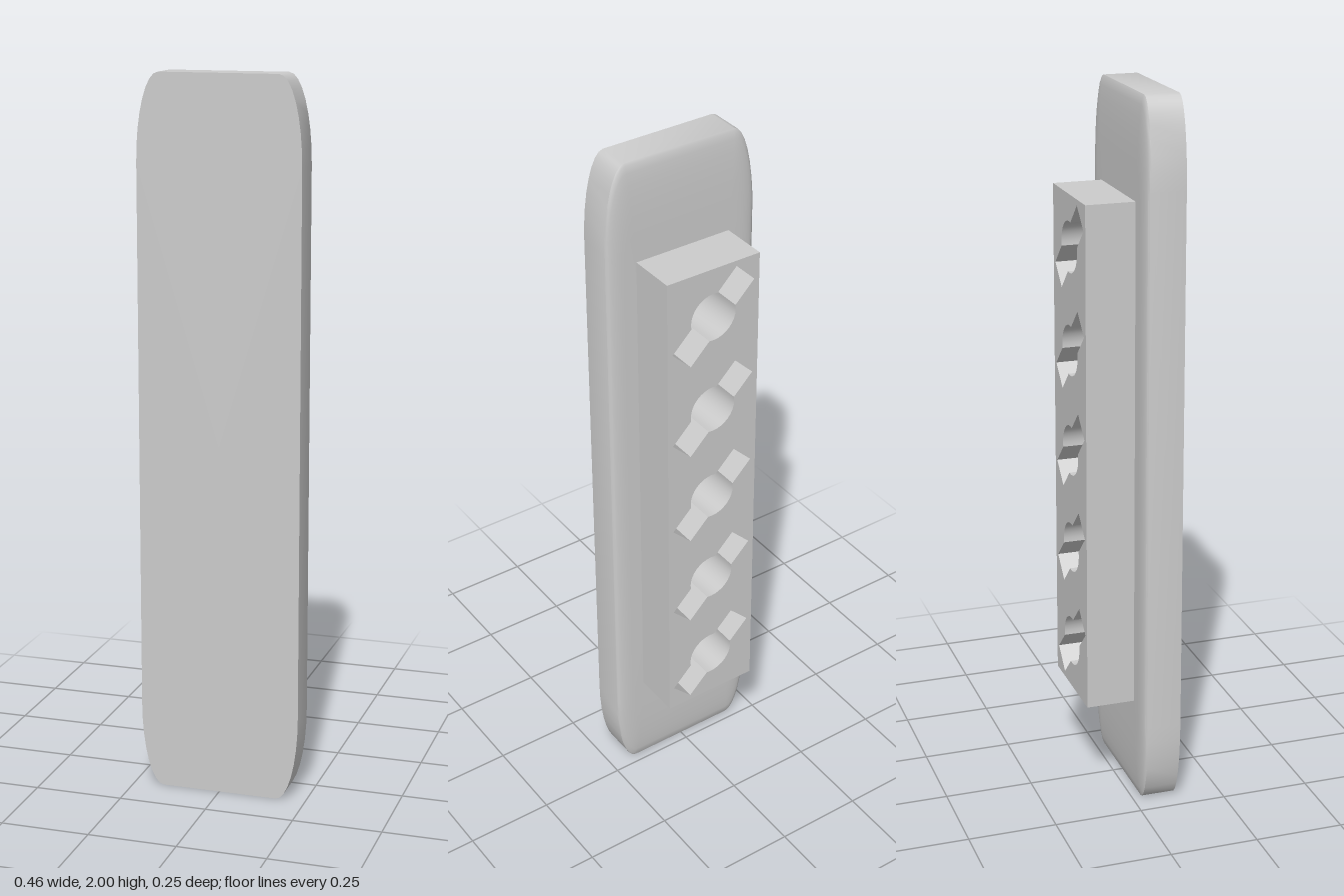
import * as THREE from 'three';
import { toCreasedNormals } from 'three/addons/utils/BufferGeometryUtils.js';

const material = new THREE.MeshStandardMaterial({ color: 0xcccccc });
const CELL = 0.286, BLOCK_BOTTOM = 0.29, BLOCK_HALF = 0.143;
const Z_FRONT = 0.123, Z_EDGE = 0.028, Z_BACK = 0.014, Z_SOCKET = -0.123;

// Outline of the plate: a rectangle with tall elliptical corners, shrunk by an inset
function plateRing(insetX, insetY, z, scale = 1) {
  const hx = 0.228 - insetX, hy = 1 - insetY;
  const rx = 0.063 - insetX * 0.7, ry = 0.24 - insetY * 0.7;
  const points = [];
  const steps = 8;
  for (let corner = 0; corner < 4; corner++) {
    const sx = corner === 0 || corner === 3 ? 1 : -1;
    const sy = corner < 2 ? 1 : -1;
    for (let i = 0; i <= steps; i++) {
      const a = (corner + i / steps) * Math.PI / 2;
      points.push(new THREE.Vector3(
        scale * (sx * (hx - rx) + rx * Math.cos(a)),
        1 + scale * (sy * (hy - ry) + ry * Math.sin(a)), z));
    }
  }
  return points;
}

// Plate: flat front, straight rim, soft rounded back edge
function plateGeometry() {
  const rings = [plateRing(0, 0, Z_FRONT, 0), plateRing(0, 0, Z_FRONT)];
  const steps = 6;
  for (let i = 0; i <= steps; i++) {
    const a = (i / steps) * Math.PI / 2;
    const inset = 1 - Math.cos(a);
    rings.push(plateRing(0.053 * inset, 0.2 * inset, Z_EDGE + (Z_BACK - Z_EDGE) * Math.sin(a)));
  }
  rings.push(plateRing(0.053, 0.2, Z_BACK, 0));

  const positions = [];
  const triangle = (p, q, r) => {
    if (p.equals(q) || q.equals(r) || p.equals(r)) return;
    for (const v of [p, q, r]) positions.push(v.x, v.y, v.z);
  };
  for (let k = 0; k < rings.length - 1; k++) {
    const n = rings[k].length;
    for (let i = 0; i < n; i++) {
      const j = (i + 1) % n;
      triangle(rings[k][i], rings[k + 1][i], rings[k][j]);
      triangle(rings[k][j], rings[k + 1][i], rings[k + 1][j]);
    }
  }
  const geometry = new THREE.BufferGeometry();
  geometry.setAttribute('position', new THREE.Float32BufferAttribute(positions, 3));
  return toCreasedNormals(geometry, 0.6);
}

// Diagonal slot merged with a round hole at its middle
function slotHole(cy) {
  const halfLength = 0.14, halfWidth = 0.04, r = 0.07, steps = 10;
  const start = Math.asin(halfWidth / r);
  const points = [];
  for (const side of [1, -1]) {
    points.push(new THREE.Vector2(side * halfLength, -side * halfWidth));
    points.push(new THREE.Vector2(side * halfLength, side * halfWidth));
    for (let i = 0; i <= steps; i++) {
      const a = start + (i / steps) * (Math.PI - 2 * start);
      points.push(new THREE.Vector2(side * r * Math.cos(a), side * r * Math.sin(a)));
    }
  }
  const origin = new THREE.Vector2();
  const centre = new THREE.Vector2(0, cy);
  return new THREE.Path(points.map(p => p.rotateAround(origin, Math.PI * 0.75).add(centre)));
}

// Socket block spanning a number of square cells, one slot per cell
function socketBlock(firstCell, cells) {
  const y0 = BLOCK_BOTTOM + firstCell * CELL, y1 = y0 + cells * CELL;
  const shape = new THREE.Shape([
    new THREE.Vector2(-BLOCK_HALF, y0), new THREE.Vector2(BLOCK_HALF, y0),
    new THREE.Vector2(BLOCK_HALF, y1), new THREE.Vector2(-BLOCK_HALF, y1),
  ]);
  for (let i = 0; i < cells; i++) shape.holes.push(slotHole(y0 + (i + 0.5) * CELL));
  const geometry = new THREE.ExtrudeGeometry(shape, { depth: Z_BACK - Z_SOCKET, bevelEnabled: false });
  geometry.translate(0, 0, Z_SOCKET);
  return toCreasedNormals(geometry, 0.5);
}

export function createModel() {
  const group = new THREE.Group();
  const add = (name, geometry) => {
    const mesh = new THREE.Mesh(geometry, material);
    mesh.name = name;
    group.add(mesh);
  };
  add('plate', plateGeometry());
  add('lowerSocketBlock', socketBlock(0, 1));
  add('middleSocketBlock', socketBlock(1, 3));
  add('upperSocketBlock', socketBlock(4, 1));
  return group;
}
